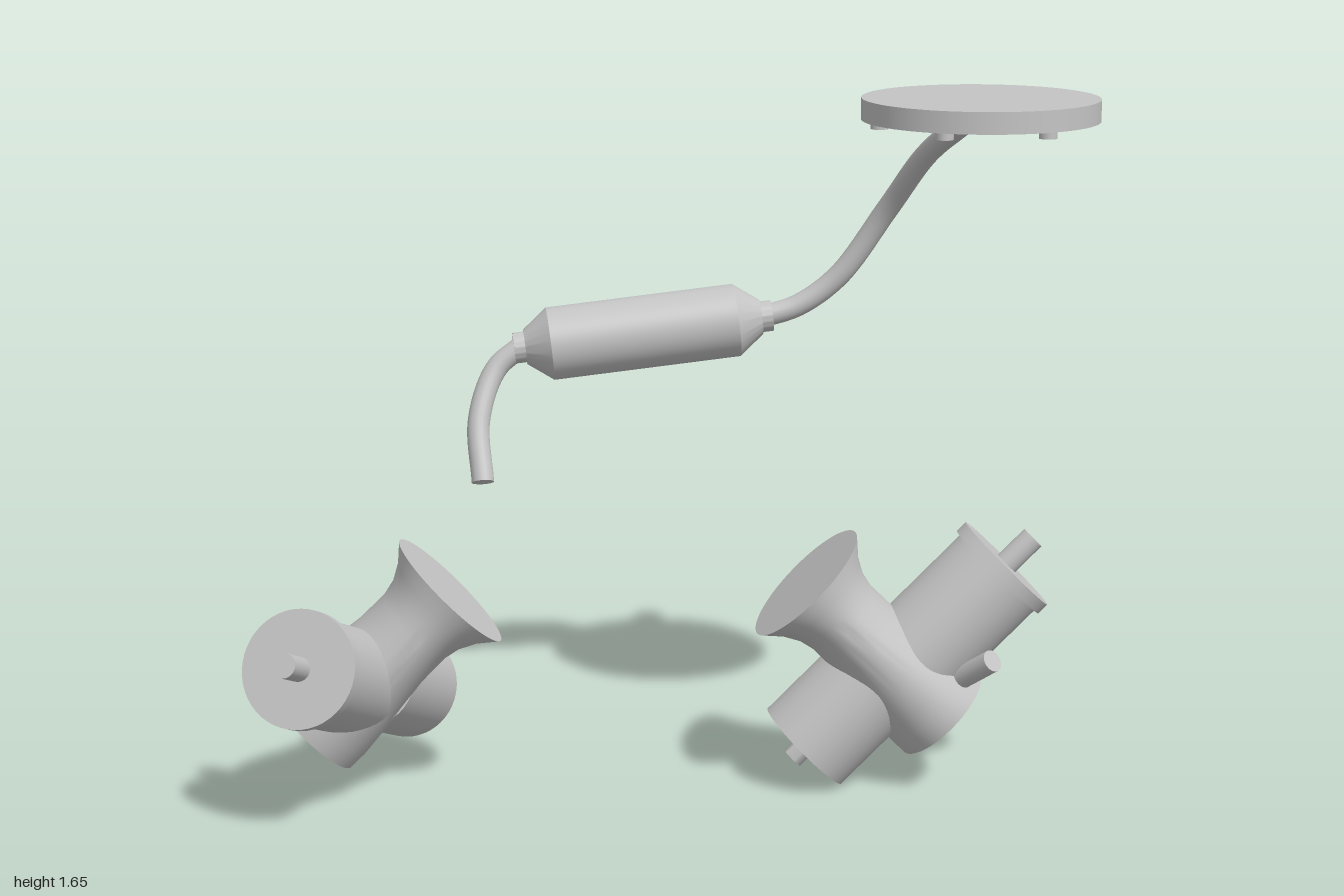
import * as THREE from 'three';
import { toCreasedNormals } from 'three/addons/utils/BufferGeometryUtils.js';

const steel = new THREE.MeshStandardMaterial({ color: 0xc4c4c4 });
steel.name = 'light grey steel';

function add(parent, name, geometry, x = 0, y = 0, z = 0) {
  const mesh = new THREE.Mesh(geometry, steel);
  mesh.name = name;
  mesh.position.set(x, y, z);
  parent.add(mesh);
  return mesh;
}

// Cylinder along local x between two distances from the origin
function rodX(parent, name, r, from, to, y, sides = 48) {
  const mesh = add(parent, name, new THREE.CylinderGeometry(r, r, Math.abs(to - from), sides), (from + to) / 2, y, 0);
  mesh.rotation.z = -Math.PI / 2;
  return mesh;
}

// Round pipe through points, with closed ends
function pipe(parent, name, points, r) {
  const curve = new THREE.CatmullRomCurve3(points.map(p => new THREE.Vector3(...p)));
  const group = new THREE.Group();
  group.name = name;
  parent.add(group);
  add(group, name + 'Wall', new THREE.TubeGeometry(curve, 48, r, 20));
  for (const t of [0, 1]) {
    const p = curve.getPointAt(t);
    const cap = add(group, name + 'End', new THREE.CircleGeometry(r, 20), p.x, p.y, p.z);
    const out = curve.getTangentAt(t).multiplyScalar(t ? 1 : -1);
    cap.quaternion.setFromUnitVectors(new THREE.Vector3(0, 0, 1), out);
  }
}

// Oval body with a flared round mouth: [distance below mouth, half width x, half width z]
function bodyGeometry() {
  const sections = [
    [0.467, 0, 0], [0.467, 0.13, 0.143], [0.42, 0.13, 0.149], [0.32, 0.12, 0.15], [0.2, 0.103, 0.15],
    [0.12, 0.102, 0.15], [0.08, 0.111, 0.152], [0.04, 0.133, 0.159], [0, 0.168, 0.171], [0, 0, 0],
  ];
  const geo = new THREE.LatheGeometry(sections.map(([s, , b]) => new THREE.Vector2(b, -s)), 64);
  const pos = geo.attributes.position;
  for (let i = 0; i < pos.count; i++) {
    const [, a, b] = sections[i % sections.length];
    if (b > 0) pos.setX(i, pos.getX(i) * a / b);
  }
  return toCreasedNormals(geo, 0.6);
}

// Valve: mouth centre at the origin, flow axis along -y, side ports along x
function valve(parent, name, x, tilt, turn) {
  const group = new THREE.Group();
  group.name = name;
  group.position.set(x, 0.503, 0.157);
  group.rotation.z = tilt;
  parent.add(group);
  add(group, 'flaredBody', bodyGeometry());

  const ports = new THREE.Group();
  ports.name = 'sidePorts';
  ports.rotation.y = turn;
  group.add(ports);
  rodX(ports, 'actuatorBarrel', 0.126, 0, 0.345, -0.315);
  rodX(ports, 'actuatorFlange', 0.138, 0.337, 0.367, -0.315);
  rodX(ports, 'actuatorStem', 0.029, 0.36, 0.455, -0.315, 24);
  rodX(ports, 'lowerBarrel', 0.126, 0, -0.287, -0.287);
  rodX(ports, 'lowerNut', 0.027, -0.28, -0.328, -0.287, 6);

  // Short stub leaving the body beside the actuator
  const stub = new THREE.Group();
  stub.name = 'sideStub';
  stub.rotation.y = -THREE.MathUtils.degToRad(40);
  ports.add(stub);
  rodX(stub, 'stubRod', 0.027, 0.08, 0.245, -0.412, 20);
}

export function createModel() {
  const model = new THREE.Group();
  model.name = 'exhaustValveAssembly';

  // Round ceiling plate with a ring of bolts below
  add(model, 'plate', new THREE.CylinderGeometry(0.278, 0.278, 0.051, 72), 0.72, 1.6295, 0.155);
  for (let i = 0; i < 6; i++) {
    const a = i * Math.PI / 3;
    add(model, 'plateBolt', new THREE.CylinderGeometry(0.021, 0.021, 0.03, 16),
      0.72 + 0.237 * Math.cos(a), 1.6, 0.155 + 0.237 * Math.sin(a));
  }

  // Pipes on both sides of the canister
  pipe(model, 'supplyPipe', [[0.72, 1.58, -0.03], [0.66, 1.46, -0.28], [0.59, 1.31, -0.42],
    [0.475, 1.135, -0.467], [0.375, 1.06, -0.476], [0.28, 1.03, -0.477]], 0.028);
  pipe(model, 'outletPipe', [[-0.325, 0.965, -0.477], [-0.39, 0.91, -0.467],
    [-0.436, 0.79, -0.415], [-0.43, 0.645, -0.35]], 0.028);

  // Canister with conical shoulders and collars
  const half = [[0.092, 0.237], [0.044, 0.3], [0.039, 0.3], [0.039, 0.328], [0, 0.328]];
  const profile = [...half.map(([r, y]) => [r, -y]).reverse(), ...half];
  const canister = add(model, 'canister', toCreasedNormals(
    new THREE.LatheGeometry(profile.map(p => new THREE.Vector2(...p)), 48), 0.5), -0.018, 0.997, -0.477);
  canister.rotation.z = -Math.PI / 2 + 0.113;

  // Two valves facing each other, the second with its ports turned
  valve(model, 'leftValve', 0.321, Math.PI / 4, 0);
  valve(model, 'rightValve', -0.524, -Math.PI / 4, -Math.PI * 2 / 3);
  return model;
}
